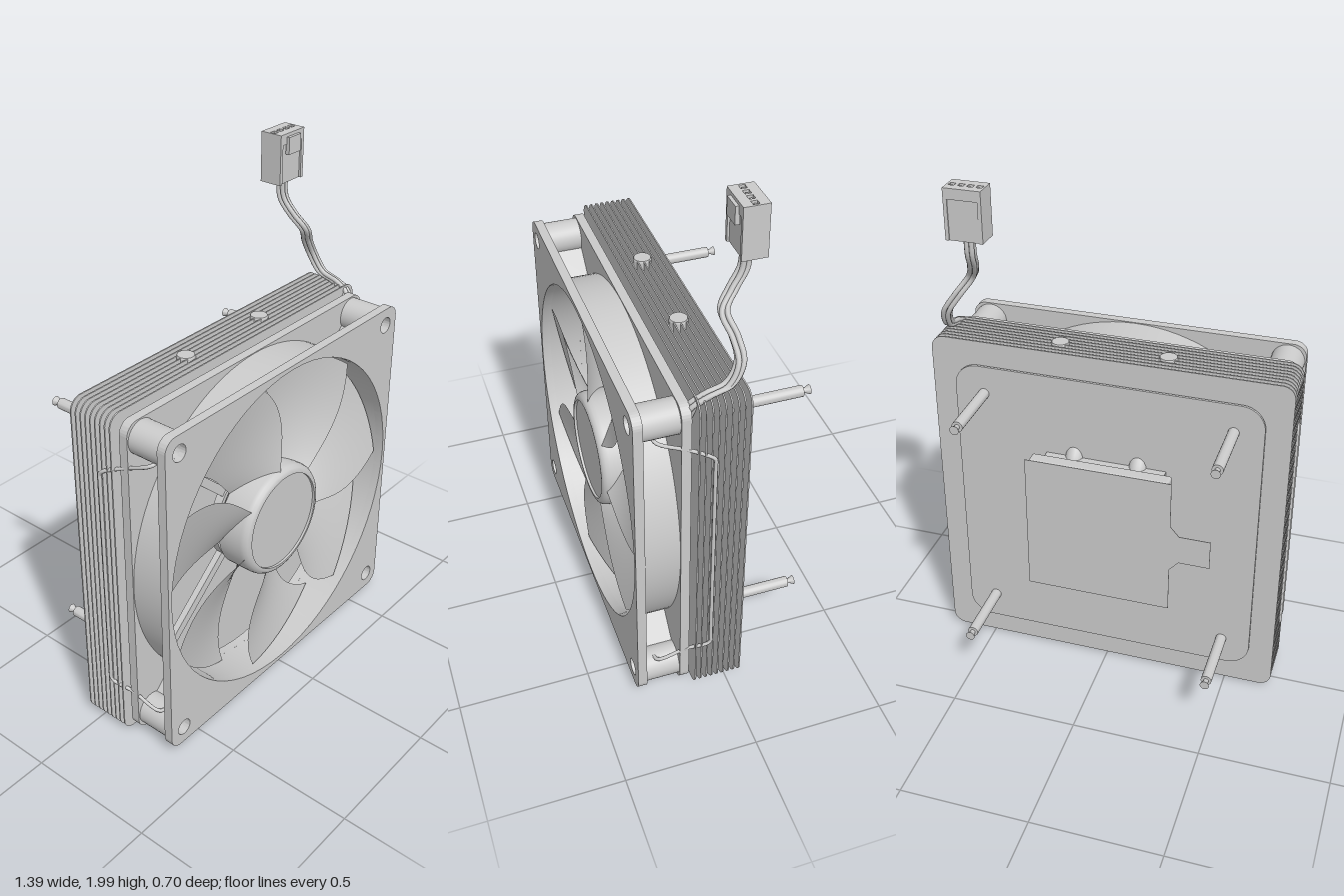
import * as THREE from 'three';
import { ParametricGeometry } from 'three/addons/geometries/ParametricGeometry.js';
import { RoundedBoxGeometry } from 'three/addons/geometries/RoundedBoxGeometry.js';
import { toCreasedNormals } from 'three/addons/utils/BufferGeometryUtils.js';

const CY = 0.698; // height of the fan axis
const grey = new THREE.MeshStandardMaterial({ color: 0xcccccc });
const greyThin = new THREE.MeshStandardMaterial({ color: 0xcccccc, side: THREE.DoubleSide });
const V = (x, y, z) => new THREE.Vector3(x, y, z);

function add(parent, name, geometry, x = 0, y = 0, z = 0, material = grey) {
  const mesh = new THREE.Mesh(geometry, material);
  mesh.name = name;
  mesh.position.set(x, y, z);
  parent.add(mesh);
  return mesh;
}

function group(parent, name, x = 0, y = 0, z = 0) {
  const g = new THREE.Group();
  g.name = name;
  g.position.set(x, y, z);
  parent.add(g);
  return g;
}

const box = (w, h, d) => new THREE.BoxGeometry(w, h, d);

// Square outline with rounded corners, centred on the origin
function roundedSquare(half, r) {
  const s = new THREE.Shape(), c = half - r;
  s.absarc(c, c, r, 0, Math.PI / 2);
  s.absarc(-c, c, r, Math.PI / 2, Math.PI);
  s.absarc(-c, -c, r, Math.PI, 1.5 * Math.PI);
  s.absarc(c, -c, r, 1.5 * Math.PI, 2 * Math.PI);
  s.closePath();
  return s;
}

function hole(shape, x, y, r) {
  const p = new THREE.Path();
  p.absarc(x, y, r, 0, Math.PI * 2, true);
  shape.holes.push(p);
}

const plate = (shape, depth) => toCreasedNormals(
  new THREE.ExtrudeGeometry(shape, { depth, bevelEnabled: false, curveSegments: 32 }), 0.5);

// Profile of [radius, z] points turned around the z axis
const turned = (points, segments = 32) => toCreasedNormals(
  new THREE.LatheGeometry(points.map(p => new THREE.Vector2(p[0], p[1])), segments)
    .rotateX(Math.PI / 2), 0.5);

function tube(points, r, segments = 64, sides = 10) {
  return new THREE.TubeGeometry(new THREE.CatmullRomCurve3(points, false, 'centripetal'), segments, r, sides);
}

const corners = (d, e = d) => [[d, e], [-d, e], [-d, -e], [d, -e]];

function buildFan(root) {
  const fan = group(root, 'fan', 0, CY, 0);

  // Frame: two flanges, round duct and four hollow corner posts on webs
  const flange = roundedSquare(0.666, 0.05);
  hole(flange, 0, 0, 0.65);
  for (const [x, y] of corners(0.597)) hole(flange, x, y, 0.032);
  add(fan, 'frontFlange', plate(flange, 0.035), 0, 0, 0.31);
  add(fan, 'rearFlange', plate(flange, 0.035), 0, 0, 0.145);
  add(fan, 'duct', turned([[0.65, 0.146], [0.663, 0.146], [0.663, 0.344], [0.65, 0.344], [0.65, 0.146]], 96),
    0, 0, 0, greyThin);
  for (const [x, y] of corners(0.597)) {
    add(fan, 'cornerPost', turned([[0.032, 0.17], [0.064, 0.17], [0.064, 0.32], [0.032, 0.32], [0.032, 0.17]]),
      x, y, 0, greyThin);
    add(fan, 'postPin', turned([[0, 0.2], [0.014, 0.2], [0.014, 0.3], [0, 0.3]], 16), x, y, 0);
    add(fan, 'postWeb', box(0.135, 0.03, 0.14), x * 0.865, y * 0.865, 0.245).rotation.z = Math.atan2(y, x);
  }

  // Rotor hub with a rounded rim around the cap
  add(fan, 'hub', turned([[0, 0.19], [0.215, 0.19], [0.225, 0.2], [0.225, 0.3], [0.222, 0.315],
    [0.214, 0.326], [0.203, 0.332], [0.194, 0.332], [0.194, 0.322], [0, 0.322]], 64));

  // Seven swept, pitched blades, steeper towards the hub
  const rad = Math.PI / 180;
  const blade = new ParametricGeometry((u, v, t) => {
    const r = 0.215 + 0.425 * v;
    const angle = (-44 * (1 - u) - 7 + 9 * v * v - 4 * Math.sin(Math.PI * v)) * rad;
    const low = 0.2 + 0.02 * v, high = 0.318 - 0.008 * v;
    t.set(r * Math.cos(angle), r * Math.sin(angle), high + (low - high) * u);
  }, 16, 16);
  for (let i = 0; i < 7; i++)
    add(fan, 'blade', blade, 0, 0, 0, greyThin).rotation.z = (93 + i * 360 / 7) * rad;

  // Motor mount and its struts
  add(fan, 'motorMount', turned([[0, 0.146], [0.215, 0.146], [0.215, 0.18], [0, 0.18]], 48));
  for (const a of [40, 138, 220, 318]) {
    const strut = add(fan, 'strut', box(0.46, 0.035, 0.025), 0.425 * Math.cos(a * rad), 0.425 * Math.sin(a * rad), 0.16);
    strut.rotation.z = a * rad;
  }
}

function buildHeatsink(root) {
  const sink = group(root, 'heatsink', 0, CY, 0);

  // Fin stack
  const fin = plate(roundedSquare(0.688, 0.05), 0.005);
  for (let i = 0; i < 9; i++) add(sink, 'fin', fin, 0, 0, -0.056 + i * 0.0222);

  // Mounting plate, contact block and the sheet covering it
  add(sink, 'mountingPlate', plate(roundedSquare(0.593, 0.09), 0.01), 0, 0, -0.072);
  add(sink, 'upperBlock', box(0.47, 0.53, 0.06), 0, 0, -0.1);
  add(sink, 'contactBlock', new RoundedBoxGeometry(0.545, 0.575, 0.056, 3, 0.01), 0, 0, -0.152);
  const sheet = new THREE.Shape([[-0.285, -0.288], [0.285, -0.288], [0.285, 0.288], [-0.285, 0.288],
    [-0.285, 0.1], [-0.32, 0.06], [-0.44, 0.06], [-0.44, -0.06], [-0.32, -0.06], [-0.285, -0.1]]
    .map(p => new THREE.Vector2(...p)));
  add(sink, 'coverSheet', plate(sheet, 0.002), 0, 0, -0.182);

  // Heat pipes: out of the block, bent forwards, then outwards to both ends
  for (const s of [1, -1]) {
    const half = [[0.207, 0.685, 0.033], [0.207, 0.57, 0.033], [0.195, 0.515, 0.033], [0.14, 0.435, 0.033],
      [0.126, 0.385, 0.028], [0.125, 0.31, -0.022], [0.125, 0.245, -0.075], [0.125, 0.17, -0.088]];
    const path = [...half, ...half.map(([x, y, z]) => [x, -y, z]).reverse()];
    add(sink, 'heatPipe', tube(path.map(([x, y, z]) => V(s * x, y, z)), 0.035, 100, 18));
    for (const e of [1, -1]) {
      const cap = add(sink, 'pipeEnd', new THREE.CylinderGeometry(0.032, 0.035, 0.008, 18), s * 0.207, e * 0.687, 0.033);
      if (e < 0) cap.rotation.x = Math.PI;
    }
  }
}

function buildScrews(root) {
  const turns = 4, coil = [];
  for (let i = 0; i <= turns * 14; i++) {
    const a = i / 14 * Math.PI * 2;
    coil.push(V(0.044 * Math.cos(a), 0.044 * Math.sin(a), 0.038 + 0.06 * i / (turns * 14)));
  }
  const coilGeometry = tube(coil, 0.005, 160, 6);
  // Shaft with a necked tip, stepped sleeve and head
  const shaft = turned([[0, -0.356], [0.018, -0.356], [0.01, -0.338], [0.01, -0.328], [0.021, -0.328], [0.021, 0.1], [0, 0.1]], 20);
  const sleeve = turned([[0, -0.06], [0.06, -0.06], [0.06, -0.015], [0.054, -0.015], [0.054, 0.035], [0, 0.035]], 28);
  const head = turned([[0, 0.1], [0.042, 0.1], [0.042, 0.108], [0.05, 0.108], [0.05, 0.12], [0.044, 0.127], [0, 0.127]], 28);
  for (const [x, y] of corners(0.48)) {
    const screw = group(root, 'springScrew', x, CY + y, 0);
    add(screw, 'shaft', shaft);
    add(screw, 'sleeve', sleeve);
    add(screw, 'head', head);
    add(screw, 'spring', coilGeometry);
  }
}

// Wire clips from the fan posts, running down between two fins
function buildClips(root) {
  for (const s of [1, -1]) {
    const half = [[0.6, 0.545, 0.27], [0.642, 0.535, 0.26], [0.662, 0.49, 0.15], [0.686, 0.465, 0.085], [0.689, 0.45, 0.0685], [0.689, 0.42, 0.0685]];
    const path = [...half, ...half.map(([x, y, z]) => [x, -y, z]).reverse()];
    add(root, 'wireClip', tube(path.map(([x, y, z]) => V(s * x, CY + y, z)), 0.007, 120, 8));
  }
}

function buildCable(root) {
  const cable = group(root, 'cable');
  const path = [[0.61, 1.28, 0.15], [0.635, 1.35, 0.132], [0.642, 1.385, 0.08], [0.64, 1.41, 0.01], [0.625, 1.48, -0.03],
    [0.58, 1.55, -0.025], [0.53, 1.62, -0.005], [0.503, 1.68, -0.045], [0.492, 1.74, -0.083], [0.49, 1.82, -0.09]];
  for (const [dx, dz] of corners(0.009))
    add(cable, 'cableStrand', tube(path.map(([x, y, z]) => V(x + dx, y + Math.abs(dz - dx) * 0.3, z + dz)), 0.0095, 70, 8));

  // Plug: body, top with four pin sockets, side rails and a latch
  const plug = group(root, 'plug', 0.49, 1.81, 0);
  add(plug, 'plugBody', box(0.13, 0.165, 0.078), 0, 0.0825, -0.093);
  const top = new THREE.Shape([[-0.07, -0.045], [0.07, -0.045], [0.07, 0.045], [-0.07, 0.045]].map(p => new THREE.Vector2(...p)));
  for (let i = 0; i < 4; i++) {
    const x = -0.051 + i * 0.034, h = 0.011;
    top.holes.push(new THREE.Path([[x - h, -h], [x - h, h], [x + h, h], [x + h, -h], [x - h, -h]].map(p => new THREE.Vector2(...p))));
    add(plug, 'pin', box(0.008, 0.02, 0.008), x, 0.175, -0.091);
  }
  add(plug, 'plugTop', plate(top, 0.04), 0, 0.15, -0.091).rotation.x = -Math.PI / 2;
  for (const s of [1, -1]) add(plug, 'plugRail', box(0.014, 0.15, 0.09), s * 0.063, 0.075, -0.091);
  add(plug, 'latch', box(0.07, 0.065, 0.016), 0, 0.145, -0.042);
}

export function createModel() {
  const root = new THREE.Group();
  root.name = 'fanCooler';
  buildFan(root);
  buildHeatsink(root);
  buildScrews(root);
  buildClips(root);
  buildCable(root);
  return root;
}
